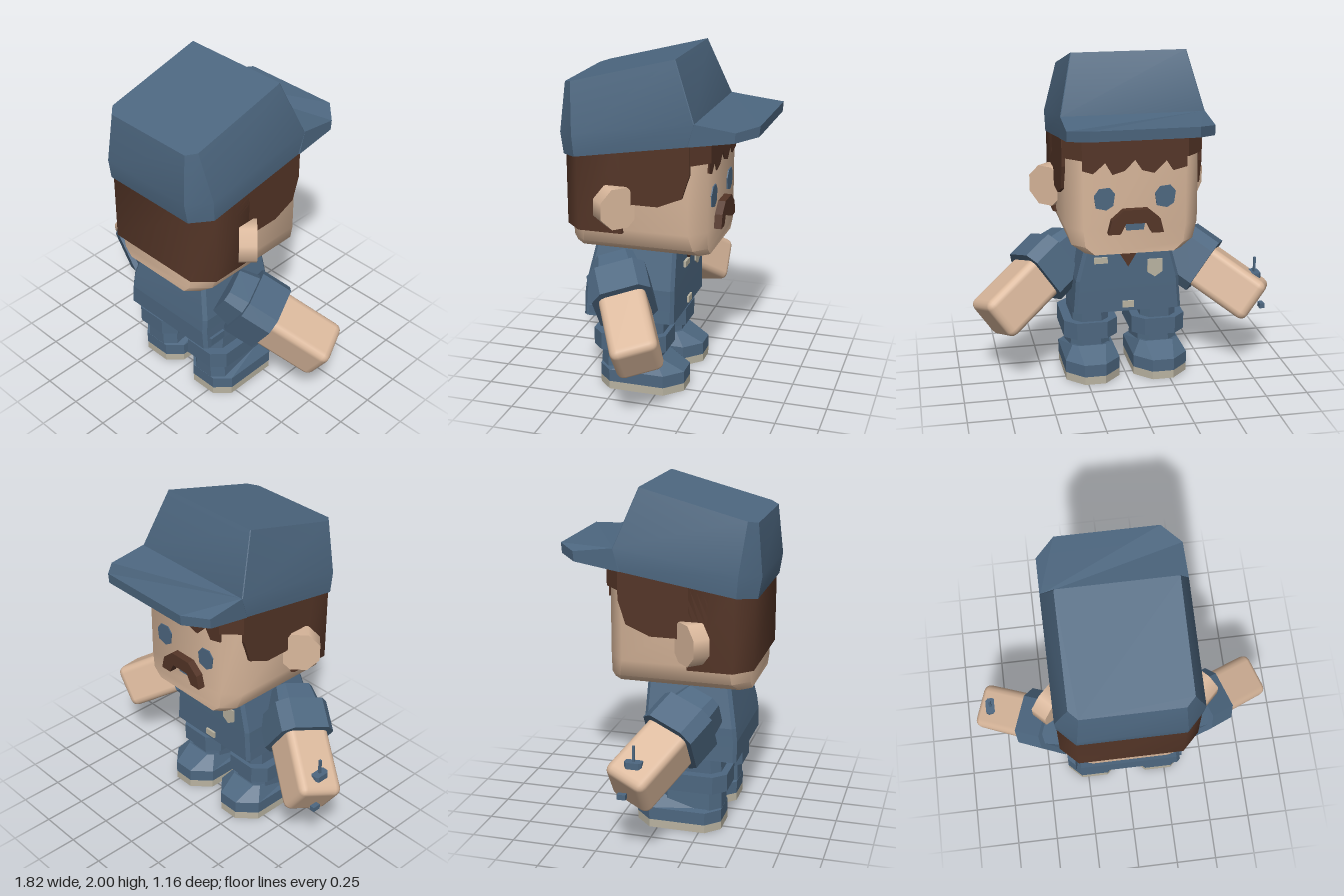
import * as THREE from 'three';
import { toCreasedNormals } from 'three/addons/utils/BufferGeometryUtils.js';
import { RoundedBoxGeometry } from 'three/addons/geometries/RoundedBoxGeometry.js';

const material = (name, color) => {
  const m = new THREE.MeshStandardMaterial({ color });
  m.name = name;
  return m;
};

// Eight-cornered outline in plan; cb chamfers the +z corners, cf the -z corners; y may be a rule of z
function outline(hx, z0, z1, cb, cf, y) {
  const at = typeof y === 'function' ? y : () => y;
  return [
    [-hx + cb, z1], [hx - cb, z1], [hx, z1 - cb], [hx, z0 + cf],
    [hx - cf, z0], [-hx + cf, z0], [-hx, z0 + cf], [-hx, z1 - cb],
  ].map(([x, z]) => [x, at(z), z]);
}

// Closed skin through outlines stacked from bottom to top
function loft(rings, crease = 0.1) {
  const p = [];
  const n = rings[0].length;
  for (let i = 0; i + 1 < rings.length; i++) {
    for (let k = 0; k < n; k++) {
      const a = rings[i][k], b = rings[i][(k + 1) % n];
      const c = rings[i + 1][(k + 1) % n], d = rings[i + 1][k];
      p.push(...a, ...b, ...c, ...a, ...c, ...d);
    }
  }
  const lo = rings[0], hi = rings[rings.length - 1];
  for (let k = 1; k + 1 < n; k++) {
    p.push(...lo[0], ...lo[k + 1], ...lo[k], ...hi[0], ...hi[k], ...hi[k + 1]);
  }
  const g = new THREE.BufferGeometry();
  g.setAttribute('position', new THREE.Float32BufferAttribute(p, 3));
  return toCreasedNormals(g, crease);
}

// Flat cut-out from a few points
const plate = (pts, depth) => new THREE.ExtrudeGeometry(
  new THREE.Shape(pts.map(([x, y]) => new THREE.Vector2(x, y))), { depth, bevelEnabled: false });

export function createModel() {
  const root = new THREE.Group();
  root.name = 'figure';
  const blue = material('slate blue', 0x4d6780);
  const skin = material('skin', 0xdab89c);
  const hair = material('dark brown', 0x543527);
  const pale = material('pale grey', 0xb9b3a1);
  const add = (name, geometry, mat, x = 0, y = 0, z = 0) => {
    const m = new THREE.Mesh(geometry, mat);
    m.name = name;
    m.position.set(x, y, z);
    root.add(m);
    return m;
  };
  const capBase = (z) => 1.415 + (0.56 - z) * 0.163;

  // Head, with the jaw corners cut
  add('head', loft([
    outline(0.28, -0.29, 0.52, 0.06, 0.05, 0.87),
    outline(0.355, -0.29, 0.52, 0.09, 0.07, 0.92),
    outline(0.385, -0.29, 0.52, 0.1, 0.09, 1.02),
    outline(0.385, -0.29, 0.52, 0.1, 0.09, (z) => capBase(z) + 0.02),
  ], 0.9), skin);

  // Hair: back, fringe and sideburns
  add('backHair', loft([
    outline(0.403, 0.18, 0.545, 0.1, 0.01, 1.0),
    outline(0.403, 0.18, 0.545, 0.1, 0.01, (z) => capBase(z) + 0.03),
  ], 0.9), hair);
  add('fringe', loft([
    outline(0.403, -0.31, -0.2, 0.01, 0.1, 1.43),
    outline(0.403, -0.31, -0.2, 0.01, 0.1, 1.57),
  ]), hair);
  add('fringeTips', plate([
    [-0.3, 1.45], [-0.3, 1.37], [-0.22, 1.35], [-0.18, 1.41], [-0.11, 1.34], [-0.04, 1.36], [0, 1.42],
    [0.06, 1.36], [0.13, 1.34], [0.17, 1.41], [0.24, 1.35], [0.3, 1.37], [0.3, 1.45],
  ], 0.009), hair, 0, 0, -0.298);
  const sideburn = plate([
    [0.3, 1.48], [0.3, 1.1], [0.12, 1.18], [-0.03, 1.18], [-0.17, 1.24], [-0.215, 1.38], [-0.215, 1.56],
  ], 0.02).rotateY(-Math.PI / 2);

  // Ears stand out at 45 degrees, facing forward
  const ear = new THREE.CylinderGeometry(0.127, 0.127, 0.1, 8);
  ear.rotateY(Math.PI / 8).rotateX(Math.PI / 2).translate(0, 0, -0.05);
  for (const s of [1, -1]) {
    add('sideburn', sideburn, hair, s > 0 ? 0.403 : -0.383);
    add('ear', ear, skin, s * 0.45, 1.165, 0.175).rotation.y = s * Math.PI * 0.75;
  }

  // Face
  const eye = [[-0.06, 0.03], [-0.05, -0.04], [-0.01, -0.065], [0.05, -0.05], [0.06, 0.02], [0.03, 0.06], [-0.03, 0.065]];
  for (const s of [1, -1]) add('eye', plate(eye, 0.008), blue, s * 0.175, 1.2, -0.297);
  add('moustache', plate([
    [-0.16, 1.0], [-0.14, 1.08], [-0.07, 1.14], [0.07, 1.14], [0.14, 1.08], [0.16, 1.0],
    [0.09, 1.0], [0.06, 1.06], [-0.06, 1.06], [-0.09, 1.0],
  ], 0.045), hair, 0, 0, -0.335);
  add('mouth', plate([[-0.06, 1.06], [-0.05, 1.01], [0.05, 1.01], [0.06, 1.06]], 0.008), blue, 0, 0, -0.297);

  // Cap
  add('capCrown', loft([
    outline(0.405, -0.24, 0.56, 0.1, 0.004, capBase),
    outline(0.41, -0.24, 0.58, 0.11, 0.004, (z) => 1.54 + (0.58 - z) * 0.1585),
    outline(0.33, -0.11, 0.55, 0.05, 0.004, (z) => 1.83 + (0.55 - z) * 0.2576),
  ], 0.4), blue);
  add('capBrim', loft([
    outline(0.41, -0.575, -0.2, 0.004, 0.11, capBase),
    outline(0.41, -0.58, -0.236, 0.004, 0.11, (z) => (z < -0.5 ? 1.66 : z < -0.3 ? 1.64 : 1.67)),
  ]), blue);

  // Shirt and its details
  add('shirt', loft([
    outline(0.325, -0.095, 0.455, 0.02, 0.02, 0.44),
    outline(0.315, -0.095, 0.455, 0.02, 0.02, 0.56),
    outline(0.31, -0.095, 0.445, 0.02, 0.02, 0.64),
    outline(0.25, -0.09, 0.4, 0.02, 0.02, 0.87),
  ]), blue);
  add('collar', plate([[-0.09, 0.87], [0, 0.72], [0.09, 0.87]], 0.008), hair, 0, 0, -0.1);
  add('nameTag', new THREE.BoxGeometry(0.08, 0.035, 0.016), pale, 0.17, 0.78, -0.132);
  add('badge', plate([[-0.045, 0.05], [-0.045, -0.03], [0, -0.06], [0.045, -0.03], [0.045, 0.05]], 0.009),
    pale, -0.16, 0.71, -0.108);
  add('buckle', new THREE.BoxGeometry(0.07, 0.04, 0.015), pale, 0, 0.485, -0.1);
  add('pouch', new THREE.BoxGeometry(0.03, 0.05, 0.11), blue, 0.32, 0.485, 0.365);

  for (const s of [1, -1]) {
    // Arm frame: local y runs out along the arm towards the hand
    const along = new THREE.Vector3(s * 0.74, -0.51, -0.44).normalize();
    const up = new THREE.Vector3(s * 0.567, 0.823, 0).normalize();
    const arm = new THREE.Group();
    arm.name = s > 0 ? 'leftArm' : 'rightArm';
    arm.applyMatrix4(new THREE.Matrix4().makeBasis(up, along, new THREE.Vector3().crossVectors(up, along)));
    arm.position.set(s * 0.8, 0.425, -0.04);
    root.add(arm);
    const part = (name, geometry, mat, y = 0) => {
      const m = new THREE.Mesh(geometry, mat);
      m.name = name;
      m.position.y = y;
      arm.add(m);
    };
    part('forearm', new RoundedBoxGeometry(0.27, 0.5, 0.27, 2, 0.045), skin, -0.23);
    part('sleeveCuff', loft([
      outline(0.177, -0.17, 0.17, 0.06, 0.06, -0.56),
      outline(0.177, -0.17, 0.17, 0.06, 0.06, -0.37),
    ]), blue);
    part('shoulder', loft([
      outline(0.12, -0.12, 0.12, 0.04, 0.04, -0.68),
      outline(0.15, -0.14, 0.14, 0.05, 0.05, -0.55),
    ]), blue);

    // Leg and shoe
    const leg = (name, mat, ...rings) => add(name, loft(rings), mat, s * 0.208);
    leg('thigh', blue, outline(0.11, -0.02, 0.36, 0.05, 0.05, 0.35), outline(0.105, -0.02, 0.35, 0.05, 0.05, 0.46));
    leg('kneeBand', blue, outline(0.163, -0.045, 0.4, 0.07, 0.07, 0.25), outline(0.163, -0.045, 0.4, 0.07, 0.07, 0.355));
    leg('shin', blue, outline(0.128, -0.01, 0.365, 0.06, 0.06, 0.1), outline(0.115, -0.01, 0.36, 0.06, 0.06, 0.26));
    leg('shoe', blue,
      outline(0.165, -0.148, 0.365, 0.08, 0.1, 0.05),
      outline(0.165, -0.148, 0.365, 0.08, 0.1, 0.125),
      outline(0.115, -0.02, 0.35, 0.07, 0.03, (z) => (z < 0.02 ? 0.2 : 0.135)));
    leg('sole', pale, outline(0.163, -0.148, 0.365, 0.08, 0.1, 0), outline(0.163, -0.148, 0.365, 0.08, 0.1, 0.05));
  }

  // Small handheld device on the right arm
  add('deviceBase', loft([
    outline(0.03, -0.05, 0.05, 0.015, 0.015, 0.55),
    outline(0.03, -0.05, 0.05, 0.015, 0.015, 0.6),
  ]), blue, -0.808);
  add('deviceAerial', new THREE.BoxGeometry(0.014, 0.11, 0.014), blue, -0.808, 0.635, 0);
  add('deviceTip', new THREE.BoxGeometry(0.03, 0.03, 0.05), blue, -0.84, 0.4, -0.06);
  return root;
}
